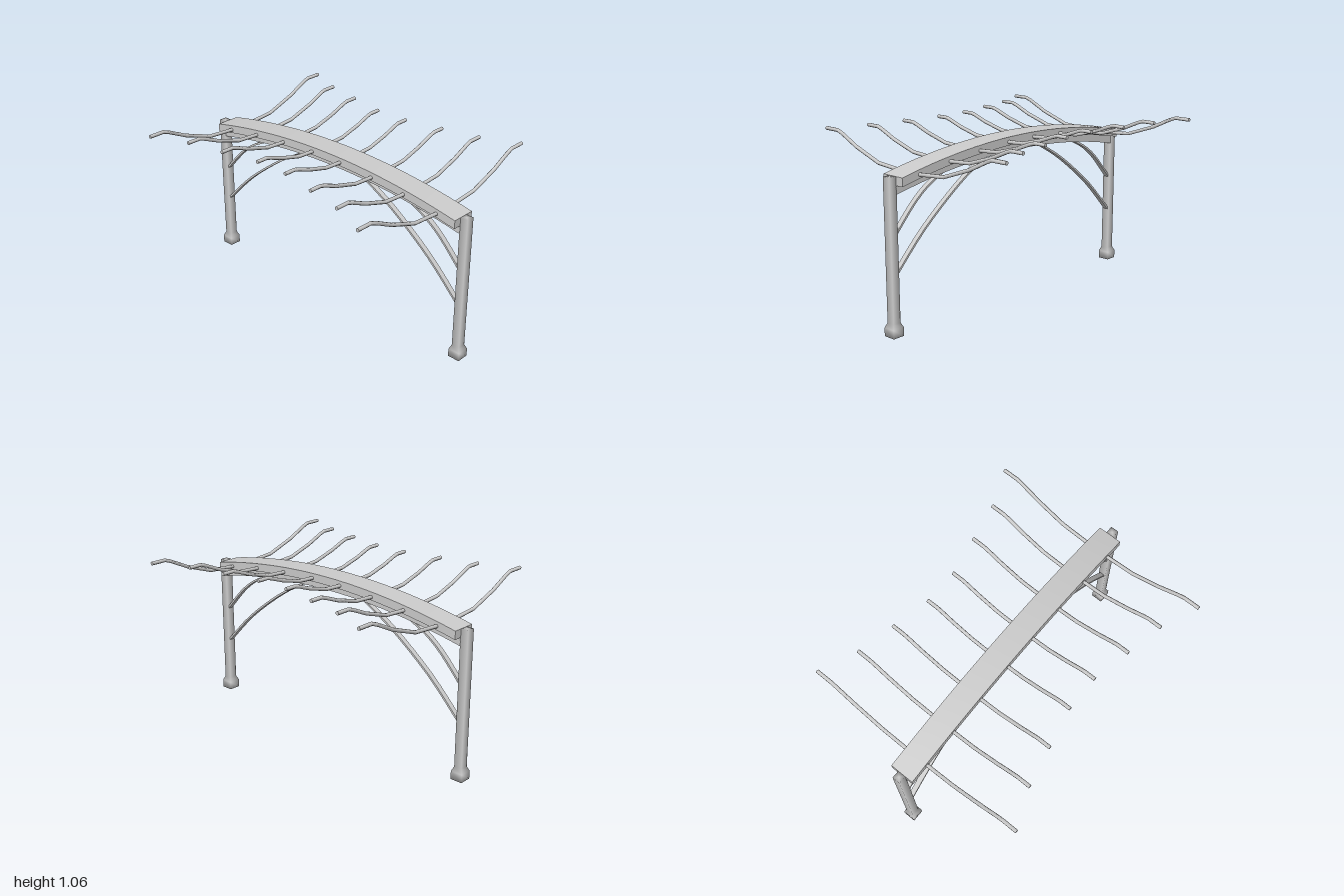
import * as THREE from 'three';
import { toCreasedNormals } from 'three/addons/utils/BufferGeometryUtils.js';

const material = new THREE.MeshStandardMaterial({ color: 0xcccccc });

// Sweep a section of [across, up] points along a path of [x, y] points.
// With upright set, every section stays vertical.
function sweep(section, path, upright = false, crease = 0.6) {
  const n = section.length, last = path.length - 1;
  const pos = [], index = [];
  path.forEach(([x, y], k) => {
    const a = path[Math.max(k - 1, 0)], b = path[Math.min(k + 1, last)];
    const len = Math.hypot(b[0] - a[0], b[1] - a[1]);
    const nx = upright ? 0 : -(b[1] - a[1]) / len;
    const ny = upright ? 1 : (b[0] - a[0]) / len;
    for (const [u, v] of section) pos.push(x + nx * v, y + ny * v, u);
  });
  for (let k = 0; k < last; k++) {
    for (let i = 0; i < n; i++) {
      const p = k * n + i, q = k * n + (i + 1) % n;
      index.push(p, p + n, q, q, p + n, q + n);
    }
  }
  // End caps
  const outline = section.map(([u, v]) => new THREE.Vector2(u, v));
  for (const [a, b, c] of THREE.ShapeUtils.triangulateShape(outline, [])) {
    index.push(a, b, c, last * n + a, last * n + c, last * n + b);
  }
  const geometry = new THREE.BufferGeometry();
  geometry.setAttribute('position', new THREE.Float32BufferAttribute(pos, 3));
  geometry.setIndex(index);
  return toCreasedNormals(geometry, crease);
}

function part(name, geometry, parent) {
  const mesh = new THREE.Mesh(geometry, material);
  mesh.name = name;
  parent.add(mesh);
  return mesh;
}

// Points along a smooth curve through a few [x, y] points
const smooth = (points, count) => new THREE.SplineCurve(
  points.map(([x, y]) => new THREE.Vector2(x, y))
).getPoints(count).map((p) => [p.x, p.y]);

export function createModel() {
  const model = new THREE.Group();
  model.name = 'archedRack';

  // Arched beam: wide flange on a narrow web
  const tee = [[-0.025, -0.1], [0.025, -0.1], [0.025, -0.05], [0.075, -0.05],
    [0.075, 0], [-0.075, 0], [-0.075, -0.05], [-0.025, -0.05]];
  const arch = [];
  for (let i = 0; i <= 24; i++) {
    const t = i / 12 - 1;
    arch.push([t * 0.94, 1 - 0.1 * t * t]);
  }
  part('archedBeam', sweep(tee, arch, true).rotateY(-Math.PI / 2), model);

  // Square post with a flared foot
  const profile = [[0, 0], [0.0375, 0], [0.0375, 0.05], [0.025, 0.078], [0.025, 0.9], [0, 0.9]]
    .map(([half, y]) => new THREE.Vector2(half * Math.SQRT2, y));
  const postGeometry = new THREE.LatheGeometry(profile, 4).rotateY(Math.PI / 4);

  // Flat curved braces
  const strip = [[-0.016, -0.006], [0.016, -0.006], [0.016, 0.006], [-0.016, 0.006]];
  const braceGeometries = [
    [[0.25, 0.892], [0.46, 0.77], [0.727, 0.567], [0.945, 0.35]],
    [[0.58, 0.865], [0.7, 0.803], [0.81, 0.716], [0.945, 0.572]],
  ].map((points) => sweep(strip, smooth(points, 12)).rotateY(-Math.PI / 2));

  for (const end of ['front', 'back']) {
    const support = new THREE.Group();
    support.name = end + 'Support';
    part(end + 'Post', postGeometry, support).position.z = 0.9625;
    part(end + 'LongBrace', braceGeometries[0], support);
    part(end + 'ShortBrace', braceGeometries[1], support);
    if (end === 'back') support.rotation.y = Math.PI;
    model.add(support);
  }

  // Bent arms: [z, reach, height at the beam]
  const ring = [];
  for (let i = 0; i < 8; i++) {
    const a = (i + 0.5) * Math.PI / 4;
    ring.push([0.011 * Math.cos(a), 0.011 * Math.sin(a)]);
  }
  const rows = [[0.815, 0.705, 0.893], [0.585, 0.61, 0.928], [0.35, 0.56, 0.952], [0.11, 0.51, 0.966]];
  for (const [z, reach, base] of rows) {
    const rise = 1.052 - base;
    const path = [[0, 0], [0.09, 0.02], [0.365, 0.115], [0.63, 0.53], [0.8, 0.9], [0.86, 1], [1, 1]]
      .map(([x, y]) => [x * reach, base + y * rise]);
    const geometry = sweep(ring, path, false, 1);
    for (const side of [1, -1]) {
      for (const dir of [1, -1]) {
        const arm = part(side > 0 ? 'leftArm' : 'rightArm', geometry, model);
        arm.position.z = z * dir;
        if (side < 0) arm.rotation.y = Math.PI;
      }
    }
  }
  return model;
}
